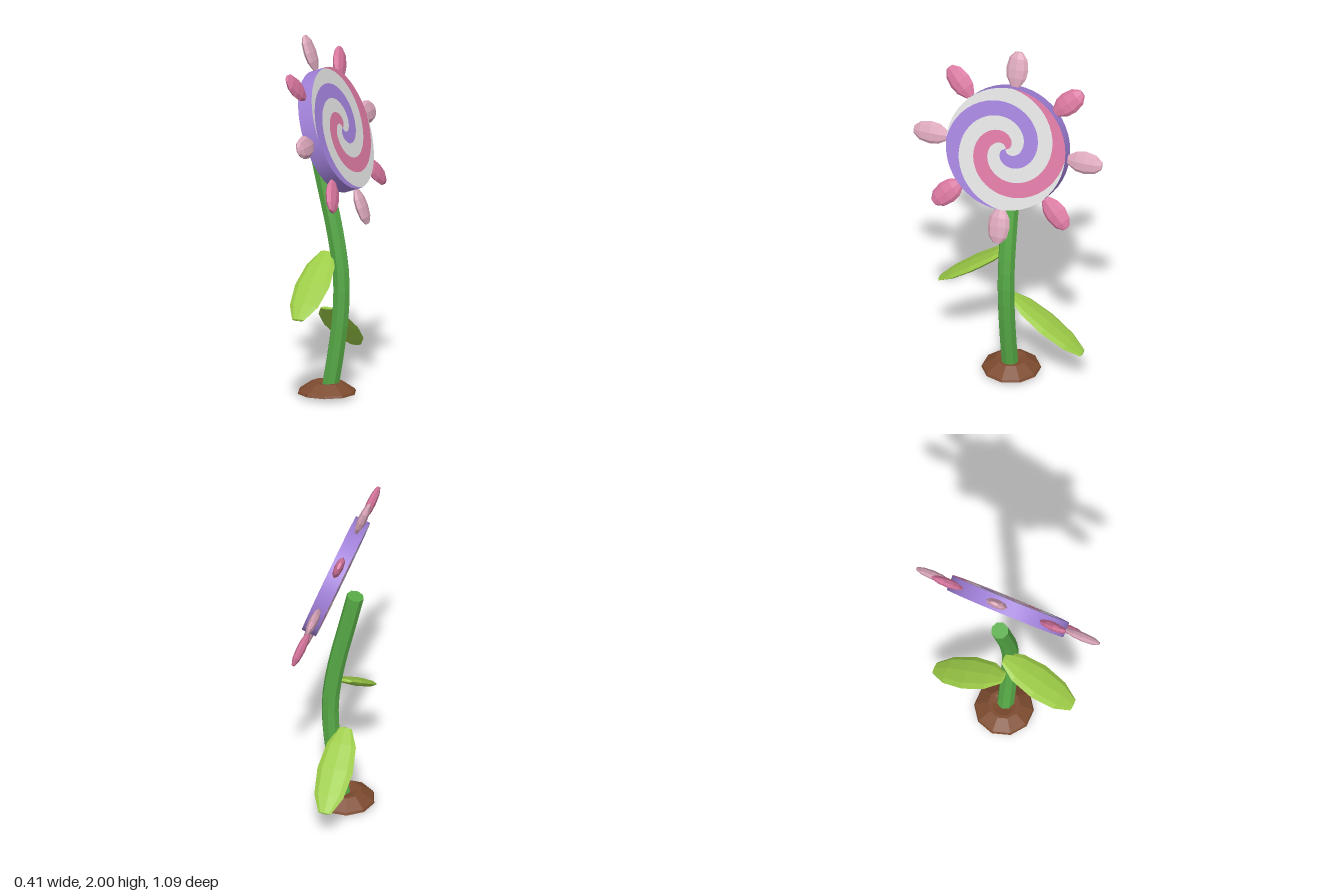
import * as THREE from 'three';

function mat(name, color, opts = {}) {
  const m = new THREE.MeshStandardMaterial({ color, ...opts });
  m.name = name;
  return m;
}

function add(parent, name, geometry, material) {
  const mesh = new THREE.Mesh(geometry, material);
  mesh.name = name;
  parent.add(mesh);
  return mesh;
}

// Closed low-poly lens turned around y; points are [radius, height]
function turned(points, sides) {
  return new THREE.LatheGeometry(points.map(([r, y]) => new THREE.Vector2(r, y)), sides);
}

// One spiral arm: a quarter-turn-wide band that winds out from the centre
function spiralArm(radius, x, turn) {
  const pos = [], index = [], steps = 60;
  for (let i = 0; i <= steps; i++) {
    const a = -Math.PI + (i / steps) * Math.PI * 2.5;
    const f = a / (Math.PI * 2) + 0.25;
    for (const k of [f, f + 0.25]) {
      const r = radius * Math.min(1, Math.max(0, k));
      pos.push(x, r * Math.sin(a + turn), -r * Math.cos(a + turn));
    }
    if (i < steps) {
      const n = i * 2;
      index.push(n, n + 1, n + 3, n, n + 3, n + 2);
    }
  }
  const g = new THREE.BufferGeometry();
  g.setAttribute('position', new THREE.Float32BufferAttribute(pos, 3));
  g.setAttribute('normal', new THREE.Float32BufferAttribute(pos.map((_, i) => (i % 3 ? 0 : 1)), 3));
  g.setIndex(index);
  return g;
}

export function createModel() {
  const model = new THREE.Group();
  model.name = 'candyFlower';

  const flat = { flatShading: true };
  const double = { side: THREE.DoubleSide };
  const green = mat('stemGreen', 0x57ab47, flat);
  const lime = mat('leafLime', 0x9ccb47, flat);
  const brown = mat('soilBrown', 0x7d4b2f, flat);
  const purple = mat('candyPurple', 0xa080d8, double);
  const pink = mat('candyPink', 0xd8769f, double);
  const white = mat('candyWhite', 0xdcdcdc, double);
  const petalPink = mat('petalPink', 0xd8769f, flat);
  const petalPale = mat('petalPale', 0xdaa6ba, flat);

  // Soil mound
  const mound = add(model, 'soilMound',
    turned([[0, 0.02], [0.163, 0.02], [0.157, 0.033], [0.088, 0.08], [0.07, 0.08], [0, 0.06]], 10), brown);
  mound.rotation.y = Math.PI / 2;
  mound.position.x = -0.042;

  // Bent stem with end caps
  const path = new THREE.CatmullRomCurve3([
    [-0.03, 0.01], [0.012, 0.25], [0.04, 0.48], [0.042, 0.68],
    [0.005, 0.93], [-0.045, 1.15], [-0.098, 1.382],
  ].map(([x, y]) => new THREE.Vector3(x, y, 0)));
  const stemRadius = 0.048;
  add(model, 'stem', new THREE.TubeGeometry(path, 14, stemRadius, 8), green);
  for (const t of [0, 1]) {
    const cap = add(model, t ? 'stemTop' : 'stemBottom', new THREE.CircleGeometry(stemRadius, 8), green);
    const p = path.getPoint(t), d = path.getTangent(t).multiplyScalar(t ? 1 : -1);
    cap.position.copy(p);
    cap.lookAt(p.clone().add(d));
  }

  // Two drooping leaves, one on each side
  const leafShape = turned([[0, -0.255], [0.035, -0.25], [0.082, -0.15], [0.1, 0],
    [0.082, 0.15], [0.035, 0.25], [0, 0.255]], 8).scale(1, 1, 0.24);
  for (const [side, y] of [[1, 0.66], [-1, 0.345]]) {
    const leaf = add(model, side > 0 ? 'upperLeaf' : 'lowerLeaf', leafShape, lime);
    leaf.position.set(-0.043, y, side * 0.205);
    leaf.rotation.x = side * (Math.PI / 2 + 0.62);
  }

  // Tilted flower head; its local +x is the facing direction
  const head = new THREE.Group();
  head.name = 'flowerHead';
  head.position.set(0.012, 1.493, 0);
  head.rotation.z = THREE.MathUtils.degToRad(20);
  model.add(head);

  const radius = 0.342, half = 0.0425;
  const rim = new THREE.CylinderGeometry(radius, radius, half * 2, 48, 1, true).rotateZ(Math.PI / 2);
  add(head, 'candyRim', rim, purple);

  // Spiral on both faces of the disc
  [purple, white, pink, white].forEach((m, i) => {
    for (const x of [half, -half]) {
      add(head, x > 0 ? 'frontSpiral' : 'backSpiral', spiralArm(radius, x, i * Math.PI / 2), m);
    }
  });

  // Ring of petals in alternating colours
  const petalShape = turned([[0, 0.343], [0.026, 0.345], [0.056, 0.395], [0.063, 0.445],
    [0.052, 0.505], [0.022, 0.541], [0, 0.543]], 8).scale(0.4, 1, 1);
  for (let i = 0; i < 8; i++) {
    const petal = add(head, 'petal', petalShape, i % 2 ? petalPink : petalPale);
    petal.rotation.x = i * Math.PI / 4;
  }

  return model;
}
